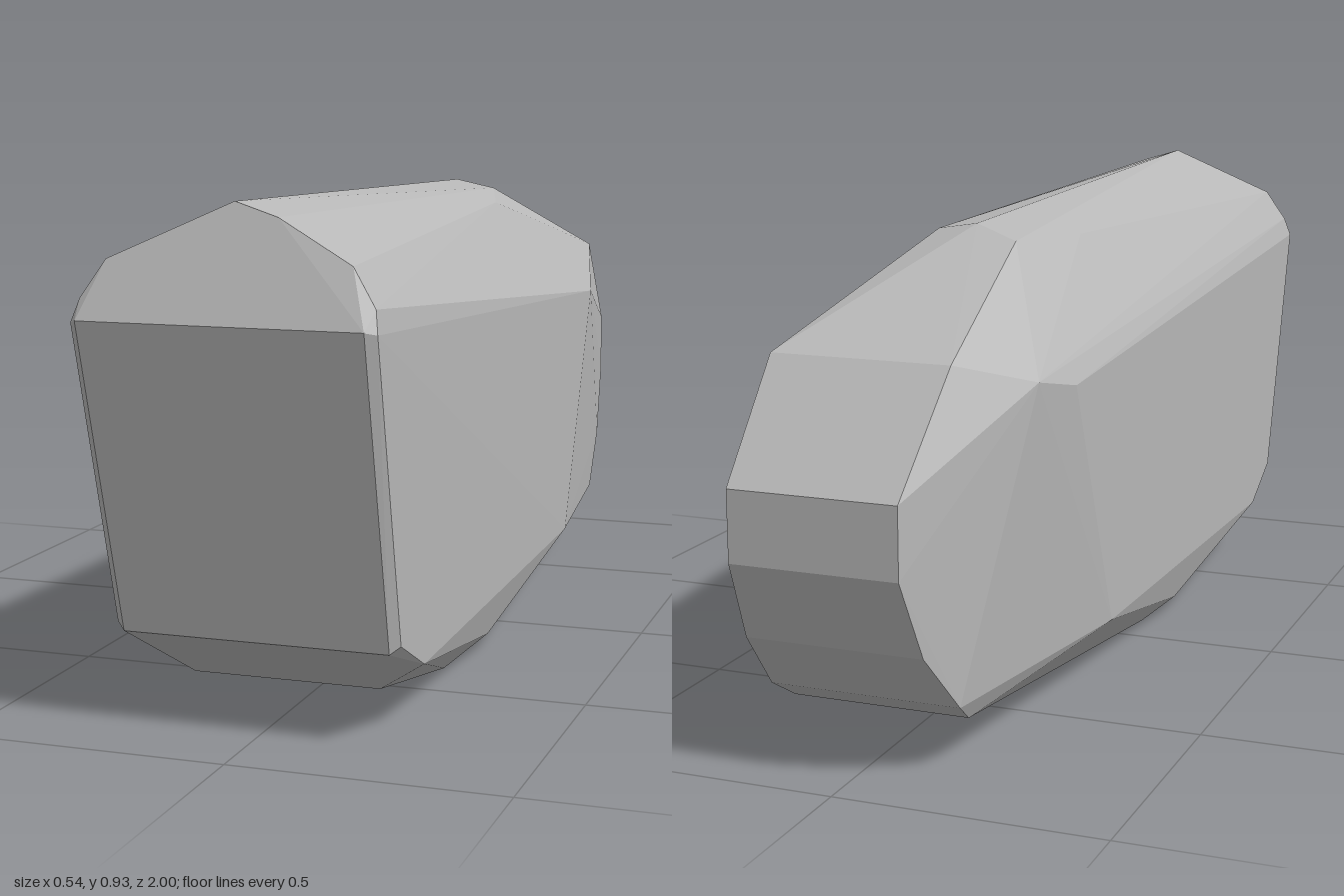
import * as THREE from 'three';
import { ConvexGeometry } from 'three/addons/geometries/ConvexGeometry.js';

// Faceted block: the convex skin around a few cross-section points.
export function createModel() {
  const group = new THREE.Group();
  const grey = new THREE.MeshStandardMaterial({ color: 0xb8b8b8 });
  const points = [];
  const add = (x, y, z) => points.push(new THREE.Vector3(x, y, z));
  const pair = (left, right, y, z) => { add(left, y, z); add(right, y, z); };

  // Sloping front face and its arched top
  pair(0.25, -0.255, 0.735, 1);
  pair(0.245, -0.245, 0.172, 0.862);
  pair(0.262, -0.262, 0.185, 0.85);
  pair(0.268, -0.27, 0.73, 0.985);
  pair(0.262, -0.257, 0.77, 0.975);
  pair(0.217, -0.217, 0.835, 0.955);
  add(0, 0.932, 0.92);
  add(0.08, 0.908, 0.93);

  // Roof ridge and shoulders
  add(0, 0.898, -0.345);
  add(0.09, 0.882, -0.32);
  add(-0.1, 0.875, -0.4);
  pair(0.14, -0.14, 0.862, -0.16);

  // Flanks
  pair(0.262, -0.268, 0.64, -0.53);
  add(-0.25, 0.67, -0.67);
  pair(0.262, -0.262, 0.135, -0.31);
  pair(0.262, -0.262, 0.118, 0.72);

  // Tapered tail, rounded from top to underside
  pair(0.19, -0.15, 0.72, -0.82);
  pair(0.183, -0.132, 0.52, -1);
  pair(0.183, -0.132, 0.39, -1);
  pair(0.19, -0.145, 0.24, -0.935);
  pair(0.195, -0.17, 0.125, -0.84);
  pair(0.18, -0.16, 0.085, -0.78);
  pair(0.16, -0.14, 0.062, -0.7);

  // Gently curved underside
  pair(0.16, -0.2, 0.045, 0.66);
  pair(0.2, -0.2, 0.013, 0.4);
  pair(0.13, -0.13, 0, 0.2);
  pair(0.2, -0.2, 0.012, 0.07);
  pair(0.23, -0.23, 0.03, 0.2);

  const body = new THREE.Mesh(new ConvexGeometry(points), grey);
  grey.name = 'grey';
  body.name = 'body';
  group.add(body);
  return group;
}
